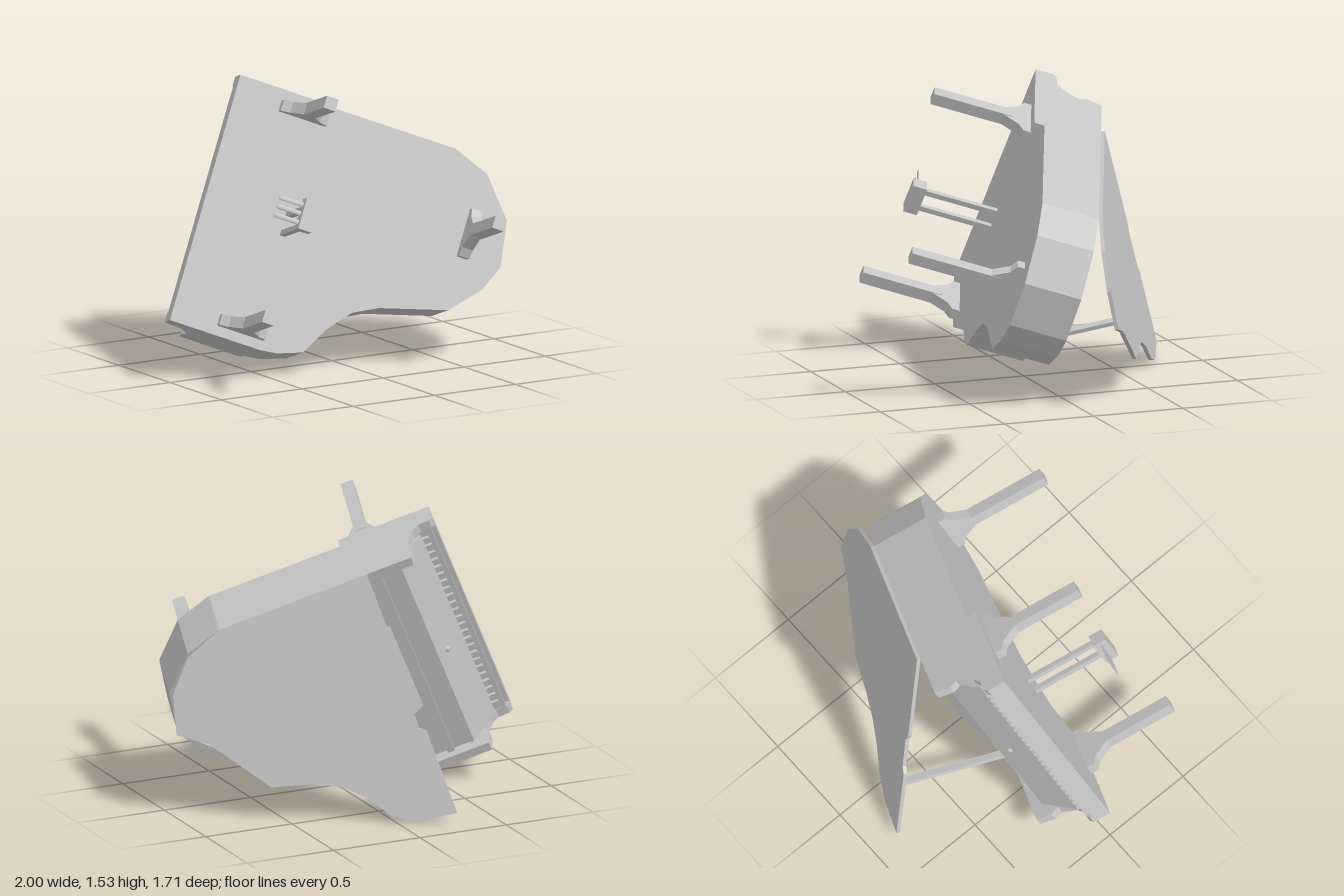
import * as THREE from 'three';

// Local frame: x = across the keyboard, y = up from the soundboard, z = towards the player.
// Lengths along the piano are given as v (towards the tail), so z = -v.
export function createModel() {
  const grey = new THREE.MeshStandardMaterial({ color: 0xc4c4c4 });
  grey.name = 'plain grey';
  const model = new THREE.Group();
  model.name = 'grandPiano';

  const add = (name, geo, parent = model) => {
    const m = new THREE.Mesh(geo, grey);
    m.name = name;
    parent.add(m);
    return m;
  };
  const box = (name, u0, u1, v0, v1, w0, w1, parent) => {
    const g = new THREE.BoxGeometry(u1 - u0, w1 - w0, v1 - v0);
    g.translate((u0 + u1) / 2, (w0 + w1) / 2, -(v0 + v1) / 2);
    return add(name, g, parent);
  };
  const toShape = pts => new THREE.Shape(pts.map(p => new THREE.Vector2(p[0], p[1])));
  const extrude = (shape, depth) => new THREE.ExtrudeGeometry(shape, { depth, bevelEnabled: false });
  // plan shape (u, v) raised from w0 to w1
  const slab = (shape, w0, w1) => extrude(shape, w1 - w0).rotateX(-Math.PI / 2).translate(0, w0, 0);
  // side profile (v, w) running from u0 to u1
  const side = (pts, u0, u1) => extrude(toShape(pts), u1 - u0).rotateY(Math.PI / 2).translate(u0, 0, 0);
  // offset a counter-clockwise outline inwards
  const inset = (pts, t) => pts.map((p, i) => {
    const a = pts[(i + pts.length - 1) % pts.length], b = pts[(i + 1) % pts.length];
    const n = (q, r) => new THREE.Vector2(q[1] - r[1], r[0] - q[0]).normalize();
    const n1 = n(a, p), n2 = n(p, b), m = n1.clone().add(n2);
    m.multiplyScalar(t / (1 + n1.dot(n2)));
    return [p[0] + m.x, p[1] + m.y];
  });

  const L = -0.127, R = 1.2255, FRONT = -0.986, STEP = -0.48;
  const BED = -0.356, BASE = -0.30, TOP = 0.01, FLOOR = -0.065;

  // Curved case, counter-clockwise from the short side of the keyboard end
  const outline = [
    [-0.12, STEP - 0.01], [R, STEP - 0.01],
    [R, 0.25], [1.15, 0.45], [0.95, 0.62], [0.704, 0.657], [0.56, 0.595], [0.4, 0.45],
    [0.295, 0.09], [0.226, -0.042], [0.098, -0.152], [-0.056, -0.236], [-0.105, -0.37],
  ];
  add('caseFloor', slab(toShape(outline), BASE, FLOOR));
  const rim = toShape(outline);
  rim.holes.push(new THREE.Path(inset(outline, 0.035).map(p => new THREE.Vector2(p[0], p[1] < -0.44 ? STEP - 0.005 : p[1]))));
  add('rim', slab(rim, FLOOR, TOP));

  // Keybed and shaped cheeks
  box('keybed', L, R, FRONT, STEP, BED, BED + 0.085);
  const cheek = [
    [0, 0], [0.506, 0], [0.506, 0.366], [0.165, 0.366], [0.145, 0.28], [0.165, 0.235],
    [0.12, 0.15], [0.08, 0.12], [0.02, 0.115], [0, 0.1],
  ].map(([v, h]) => [FRONT + v, BED + h]).reverse();
  add('cheekRight', side(cheek, L, L + 0.05));
  add('cheekLeft', side(cheek, R - 0.05, R));

  // Keys, mostly tucked under the sloping fallboard
  const k0 = L + 0.05, k1 = R - 0.05;
  box('whiteKeys', k0, k1, FRONT + 0.025, -0.79, BED + 0.08, BED + 0.115);
  const blackKeys = new THREE.Group();
  blackKeys.name = 'blackKeys';
  model.add(blackKeys);
  for (let i = 0; i < 24; i++) {
    const u = k0 + 0.05 + i * (k1 - k0 - 0.1) / 23;
    box('blackKey', u - 0.011, u + 0.011, -0.935, -0.85, BED + 0.115, BED + 0.135, blackKeys);
  }

  // Fallboard, pin block and shelf behind the keys
  add('fallboard', side([[-0.9, -0.215], [-0.88, -0.215], [-0.73, -0.08], [-0.73, -0.05], [-0.75, -0.05]], k0, k1));
  box('pinBlock', k0, k1, -0.745, -0.49, BED + 0.08, FLOOR + 0.01);
  box('shelfRail', k0, k1, -0.64, -0.6, FLOOR, -0.03);
  add('lock', new THREE.SphereGeometry(0.018, 10, 6).translate(0.5, -0.11, 0.802));

  // Music desk with a scalloped top, leaning back inside the case
  const desk = toShape([
    [-0.28, 0], [0.28, 0], [0.28, 0.11], [0.2, 0.13], [0.17, 0.18], [0, 0.2], [-0.17, 0.18], [-0.2, 0.13], [-0.28, 0.11],
  ]);
  add('musicDesk', extrude(desk, 0.012).rotateX(-0.9).translate(0.53, FLOOR, 0.57));

  // Raised lid, hinged on the straight side, with a notch for the desk
  const lidPts = [
    [-1.338, -0.57], [-0.88, -0.575], [-0.85, -0.545], [-0.64, -0.545], [-0.59, -0.575], [0, -0.575],
    [0, 0.25], [-0.077, 0.455], [-0.234, 0.597], [-0.437, 0.653], [-0.545, 0.51], [-0.87, 0.287],
    [-0.93, 0.08], [-0.996, -0.055], [-1.093, -0.155], [-1.232, -0.245], [-1.31, -0.354],
  ];
  const lid = add('lid', slab(toShape(lidPts), 0, 0.02));
  lid.position.set(R, TOP, 0);
  lid.rotation.z = -Math.PI / 6;

  // Lid prop
  const p0 = new THREE.Vector3(-0.04, -0.02, 0.37), p1 = new THREE.Vector3(0.29, 0.56, 0.45);
  const prop = add('lidProp', new THREE.BoxGeometry(0.022, p0.distanceTo(p1), 0.04));
  prop.position.copy(p0).add(p1).multiplyScalar(0.5);
  prop.quaternion.setFromUnitVectors(new THREE.Vector3(0, 1, 0), p1.clone().sub(p0).normalize());

  // Legs with flared brackets
  const legs = [
    ['legLeft', 1.136, -0.605, BED, true],
    ['legRight', -0.045, -0.605, BED, true],
    ['legTail', 0.816, 0.443, BASE, false],
  ];
  for (const [name, u, v, top, along] of legs) {
    const leg = new THREE.Group();
    leg.name = name;
    leg.position.set(u, 0, -v);
    if (along) leg.rotation.y = Math.PI / 2;
    model.add(leg);
    const half = [[0.034, -0.15], [0.085, -0.065], [0.13, -0.04], [0.13, 0.005]];
    const pts = [...half, ...half.map(([a, b]) => [-a, b]).reverse()].map(([a, b]) => [a, b + top]);
    add('bracket', extrude(toShape(pts), 0.06).translate(0, 0, -0.03), leg);
    const end = -0.888, h = top - 0.1 - end;
    add('post', new THREE.BoxGeometry(0.066, h, 0.066).translate(0, end + h / 2, 0), leg);
  }

  // Pedal lyre
  const lyre = new THREE.Group();
  lyre.name = 'pedalLyre';
  model.add(lyre);
  box('pedalBox', 0.465, 0.633, -0.575, -0.5, -0.825, -0.75, lyre);
  for (const s of [-1, 1]) {
    const u = 0.549 + s * 0.05;
    box('lyreRod', u - 0.014, u + 0.014, -0.545, -0.517, -0.755, BED + 0.01, lyre);
  }
  for (const s of [-1, 0, 1]) {
    const g = new THREE.CapsuleGeometry(0.013, 0.13, 3, 8).rotateX(Math.PI / 2).scale(1, 0.3, 1);
    add('pedal', g.translate(0.549 + s * 0.048, -0.79, 0.635), lyre);
  }

  // Tilt the whole instrument
  const U = new THREE.Vector3(0.4287, 0.8874, -0.1699).normalize();
  const W = new THREE.Vector3(0.2545, -0.2984, -0.92);
  W.addScaledVector(U, -W.dot(U)).normalize();
  const Z = new THREE.Vector3().crossVectors(U, W);
  model.quaternion.setFromRotationMatrix(new THREE.Matrix4().makeBasis(U, W, Z));
  const root = new THREE.Group();
  root.name = 'model';
  root.add(model);
  return root;
}
